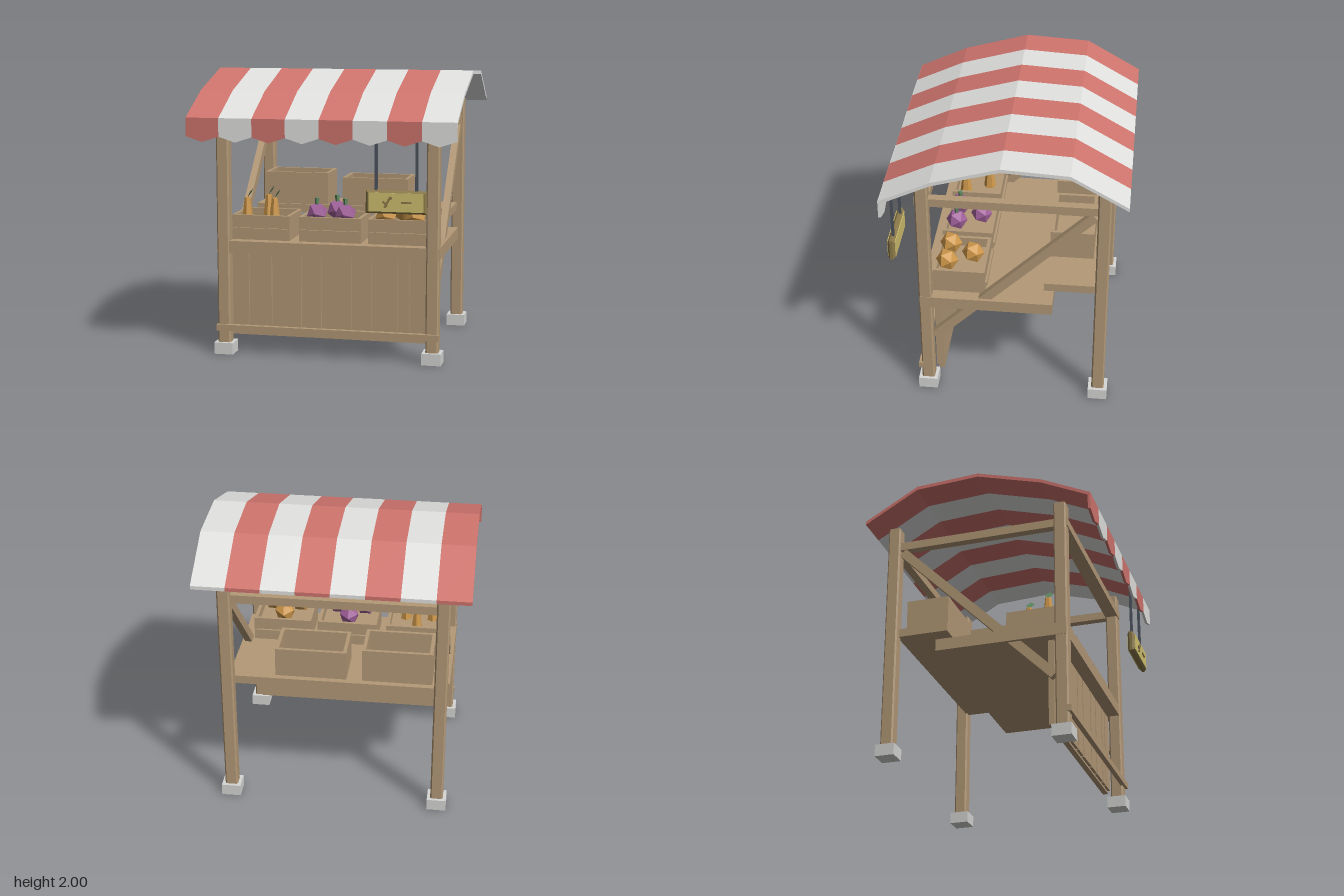
import * as THREE from 'three';

const mat = (name, color) => {
  const m = new THREE.MeshStandardMaterial({ color, flatShading: true });
  m.name = name;
  return m;
};

export function createModel() {
  const root = new THREE.Group();
  root.name = 'marketStall';
  const wood = mat('wood', 0xb39977);
  const white = mat('white cloth', 0xe2e2e0);
  const red = mat('red cloth', 0xd0756e);
  const stone = mat('stone', 0xd6d6d4);
  const metal = mat('dark metal', 0x4c525e);
  const yellow = mat('sign yellow', 0xd2c270);
  const frame = mat('sign frame', 0x8c7a4a);
  const orange = mat('orange crop', 0xd0994c);
  const purple = mat('purple crop', 0xa0609a);
  const green = mat('leaf green', 0x5f8a62);
  green.side = THREE.DoubleSide;

  const add = (name, geo, material, parent = root) => {
    const m = new THREE.Mesh(geo, material);
    m.name = name;
    parent.add(m);
    return m;
  };
  // box given by its limits on each axis
  const box = (name, x0, x1, y0, y1, z0, z1, material = wood, parent = root) =>
    add(name, new THREE.BoxGeometry(x1 - x0, y1 - y0, z1 - z0)
      .translate((x0 + x1) / 2, (y0 + y1) / 2, (z0 + z1) / 2), material, parent);
  // box with chamfered edges
  const chamferBox = (name, x0, x1, y0, y1, z0, z1, b, material) => {
    const s = new THREE.Shape();
    s.moveTo(x0 + b, y0 + b).lineTo(x1 - b, y0 + b);
    s.lineTo(x1 - b, y1 - b).lineTo(x0 + b, y1 - b);
    s.closePath();
    const g = new THREE.ExtrudeGeometry(s, {
      depth: z1 - z0 - 2 * b, bevelEnabled: true, bevelSize: b, bevelThickness: b, bevelSegments: 1,
    });
    return add(name, g.translate(0, 0, z0 + b), material);
  };

  // posts on stone feet, side beams and diagonal braces
  for (const s of [-1, 1]) {
    const x = s * 0.745;
    for (const z of [0.555, -0.672]) {
      chamferBox('post', x - 0.045, x + 0.045, 0.07, 1.75, z - 0.045, z + 0.045, 0.01, wood);
      box('foot', x - 0.068, x + 0.068, 0, 0.083, z - 0.068, z + 0.068, stone);
    }
    box('sideBeam', x - 0.03, x + 0.03, 1.57, 1.63, -0.65, 0.53);
    const dy = 1.1, dz = -1.11;
    const brace = add('brace', new THREE.BoxGeometry(0.05, Math.hypot(dy, dz), 0.065), wood);
    brace.position.set(x, 1.005, -0.055);
    brace.rotation.x = Math.atan2(dz, dy);
  }
  box('frontBeam', -0.77, 0.77, 1.57, 1.63, 0.51, 0.606);
  box('backBeam', -0.77, 0.77, 1.57, 1.63, -0.7, -0.64);

  // counter, front panelling, foot rail and rear shelf
  box('counter', -0.793, 0.793, 0.73, 0.815, -0.335, 0.593);
  box('panel', -0.72, 0.72, 0.12, 0.73, 0.445, 0.485);
  const edges = [-0.71, -0.577, -0.41, -0.195, -0.05, 0.165, 0.312, 0.493, 0.58, 0.71];
  for (let i = 0; i < edges.length - 1; i++)
    box('plank', edges[i] + 0.009, edges[i + 1] - 0.009, 0.135, 0.722, 0.48, 0.505);
  box('footRail', -0.795, 0.795, 0.17, 0.215, 0.585, 0.62);
  box('rearShelf', -0.742, 0.742, 0.9, 0.96, -0.64, -0.272);

  // open crates
  const crate = (name, x0, x1, y0, y1, z0, z1, floor, battens) => {
    const g = new THREE.Group();
    g.name = name;
    root.add(g);
    const t = 0.025;
    box('crateSide', x0, x0 + t, y0, y1, z0, z1, wood, g);
    box('crateSide', x1 - t, x1, y0, y1, z0, z1, wood, g);
    box('crateFront', x0 + t, x1 - t, y0, y1, z1 - t, z1, wood, g);
    box('crateBack', x0 + t, x1 - t, y0, y1, z0, z0 + t, wood, g);
    box('crateFloor', x0 + t, x1 - t, y0, floor, z0 + t, z1 - t, wood, g);
    if (!battens) return;
    box('batten', x0 + 0.013, x1 - 0.013, 0.873, 0.9, z1, z1 + 0.016, wood, g);
    box('batten', x0 + 0.013, x1 - 0.013, 0.873, 0.9, z0 - 0.016, z0, wood, g);
  };
  for (const [x0, x1] of [[-0.705, -0.285], [-0.215, 0.227], [0.277, 0.705]])
    crate('produceCrate', x0, x1, 0.815, 0.99, 0.145, 0.51, 0.92, true);
  crate('tallRearCrate', -0.68, -0.19, 0.96, 1.2, -0.597, -0.29, 0.99, false);
  crate('lowRearCrate', -0.08, 0.42, 0.96, 1.17, -0.597, -0.29, 0.99, false);

  // root crops: tapered bodies with a leaning diamond leaf
  const leafShape = new THREE.Shape();
  leafShape.moveTo(0, 0).lineTo(0.033, 0.045).lineTo(0, 0.08).lineTo(-0.033, 0.045);
  for (const [x, z] of [[-0.615, 0.42], [-0.415, 0.42], [-0.505, 0.25]]) {
    add('rootCrop', new THREE.CylinderGeometry(0.021, 0.046, 0.19, 6).translate(x, 1.01, z), orange);
    const leaf = add('leaf', new THREE.ShapeGeometry(leafShape).rotateY(Math.PI / 2), green);
    leaf.position.set(x, 1.103, z);
    leaf.rotation.z = -0.55;
  }
  // round crops
  const round = (name, x, z, r, material) => {
    const m = add(name, new THREE.IcosahedronGeometry(r, 0).rotateX(0.55), material);
    m.position.set(x, 1.01, z);
  };
  for (const [x, z] of [[-0.105, 0.42], [0.1, 0.42], [0.003, 0.25]]) {
    round('purpleCrop', x, z, 0.078, purple);
    add('stem', new THREE.CylinderGeometry(0.018, 0.014, 0.05, 5).translate(x, 1.09, z), green);
  }
  for (const [x, z] of [[0.39, 0.42], [0.595, 0.42], [0.49, 0.25]])
    round('orangeCrop', x, z, 0.08, orange);

  // striped awning with a pointed valance, one pair of pieces per stripe
  const top = [[0.812, 1.7], [0.465, 1.866], [0.005, 2], [-0.45, 1.975], [-0.835, 1.755]];
  const low = top.map(([z, y]) => [z, y - 0.026]).reverse();
  const profile = new THREE.Shape([...top, ...low].map(([z, y]) => new THREE.Vector2(z, y)));
  const W = 1.87 / 8;
  for (let i = 0; i < 8; i++) {
    const cloth = i % 2 ? white : red;
    const x0 = -0.935 + i * W;
    add('awningStripe', new THREE.ExtrudeGeometry(profile, { depth: W, bevelEnabled: false })
      .rotateY(-Math.PI / 2).translate(x0 + W, 0, 0), cloth);
    const flap = new THREE.Shape();
    flap.moveTo(x0, 1.7).lineTo(x0, 1.573).lineTo(x0 + W / 2, 1.535);
    flap.lineTo(x0 + W, 1.573).lineTo(x0 + W, 1.7);
    add('valance', new THREE.ExtrudeGeometry(flap, { depth: 0.018, bevelEnabled: false })
      .translate(0, 0, 0.797), cloth);
  }

  // hanging sign with its rods and small ornaments
  for (const x of [0.388, 0.663])
    box('signRod', x - 0.009, x + 0.009, 1.22, 1.59, 0.772, 0.79, metal);
  chamferBox('signFrame', 0.32, 0.735, 1.08, 1.235, 0.762, 0.81, 0.014, frame);
  box('signFace', 0.343, 0.713, 1.094, 1.221, 0.808, 0.815, yellow);
  box('signBack', 0.343, 0.713, 1.094, 1.221, 0.757, 0.764, yellow);
  box('signDash', 0.565, 0.635, 1.153, 1.165, 0.814, 0.823, frame);
  for (const [len, tilt, dx, dy] of [[0.085, -0.5, 0, 0], [0.045, 0.7, -0.016, -0.012], [0.03, -1.1, 0.018, 0.022]]) {
    const sprig = add('signSprig', new THREE.BoxGeometry(0.013, len, 0.009), frame);
    sprig.position.set(0.472 + dx, 1.16 + dy, 0.8185);
    sprig.rotation.z = tilt;
  }
  return root;
}
